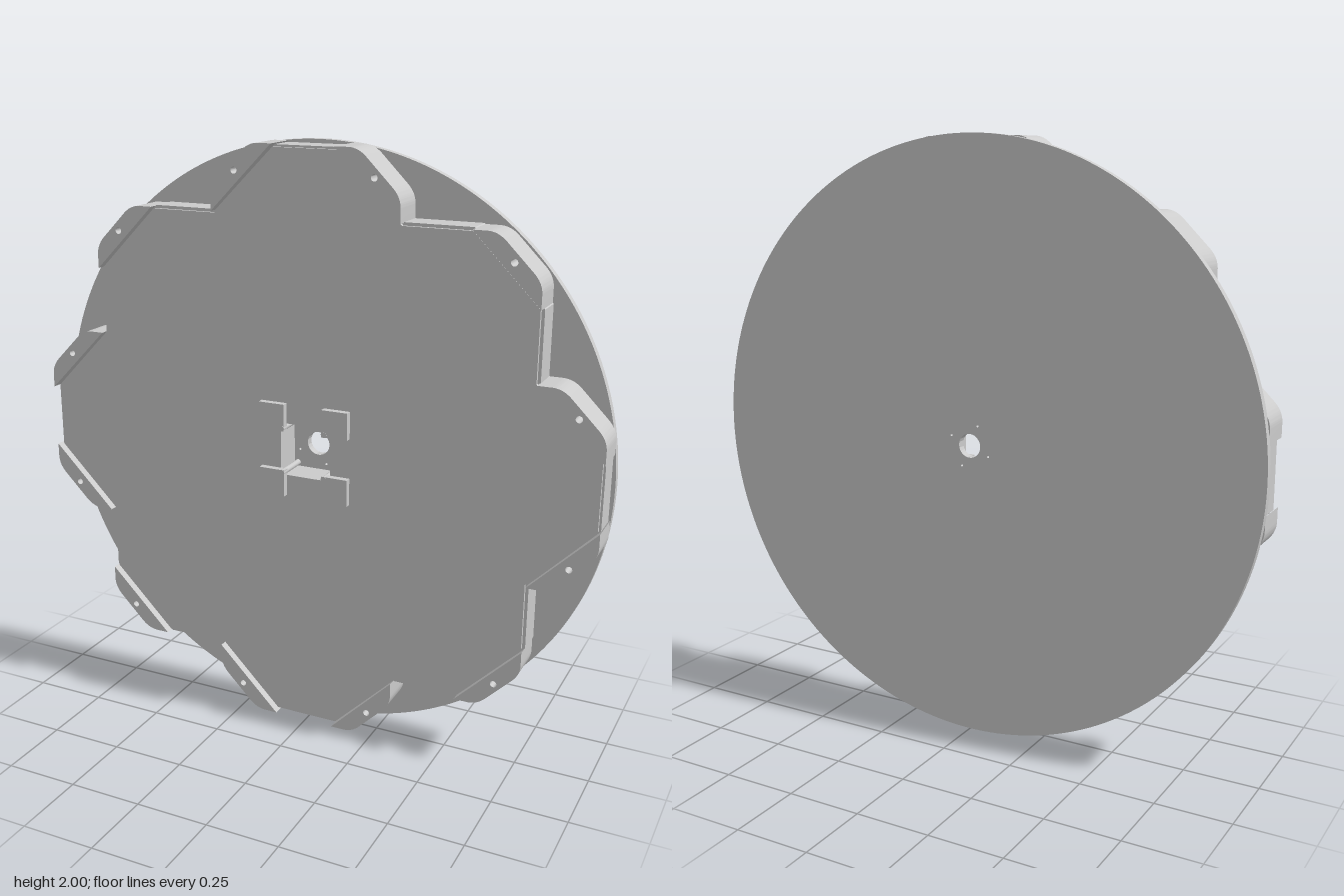
import * as THREE from 'three';
import { toCreasedNormals } from 'three/addons/utils/BufferGeometryUtils.js';

const material = new THREE.MeshStandardMaterial({ color: 0xcccccc });

// Extrude a shape between two z levels, smooth on curves and sharp on edges
function slab(name, shape, z0, z1, curveSegments = 24) {
  const geo = new THREE.ExtrudeGeometry(shape, { depth: z1 - z0, bevelEnabled: false, curveSegments });
  geo.translate(0, 0, z0);
  const mesh = new THREE.Mesh(toCreasedNormals(geo, 0.5), material);
  mesh.name = name;
  return mesh;
}

function circle(x, y, r) {
  return new THREE.Path().absarc(x, y, r, 0, Math.PI * 2, true);
}

function square(Type, h) {
  return new Type([[-h, -h], [h, -h], [h, h], [-h, h]].map(([x, y]) => new THREE.Vector2(x, y)));
}

// Stepped octagonal outline: far = cardinal flats, near = notch flats
function bodyShape(far, near) {
  const quarter = [[far, -0.11], [far, 0.11], [near, 0.325], [near, 0.55], [0.55, near], [0.325, near]];
  const points = [];
  for (let q = 0; q < 4; q++) {
    for (const [x, y] of quarter) {
      points.push(new THREE.Vector2(x, y).rotateAround(new THREE.Vector2(), q * Math.PI / 2));
    }
  }
  const shape = new THREE.Shape(points);
  shape.holes.push(square(THREE.Path, 0.09));
  return shape;
}

// Trapezoid block with rounded outer corners and a screw hole; x along, y outward
function padShape() {
  const s = new THREE.Shape();
  s.moveTo(-0.155, 0);
  s.lineTo(0.155, 0);
  s.lineTo(0.122, 0.033);
  s.quadraticCurveTo(0.098, 0.056, 0.06, 0.056);
  s.lineTo(-0.06, 0.056);
  s.quadraticCurveTo(-0.098, 0.056, -0.122, 0.033);
  s.closePath();
  s.holes.push(circle(0, 0.032, 0.011));
  return s;
}

export function createModel() {
  const model = new THREE.Group();
  model.name = 'wheelPanel';
  const wheel = new THREE.Group();
  wheel.name = 'wheel';
  wheel.position.y = 1;
  model.add(wheel);

  // Round back disc with centre bore and four small screw holes
  const disc = new THREE.Shape().absarc(0, 0, 1, 0, Math.PI * 2, false);
  disc.holes.push(circle(0, 0, 0.04));
  for (let q = 0; q < 4; q++) {
    const a = q * Math.PI / 2 + 0.4;
    disc.holes.push(circle(0.075 * Math.cos(a), 0.075 * Math.sin(a), 0.004));
  }
  wheel.add(slab('backDisc', disc, -0.075, -0.048, 120));

  // Stepped body wall and the slightly inset front plate
  wheel.add(slab('bodyWall', bodyShape(0.987, 0.775), -0.05, 0.043));
  wheel.add(slab('frontPlate', bodyShape(0.98, 0.765), 0.043, 0.054));

  // Twelve edge blocks, three per quadrant, all facing the diagonals
  const padSpots = [[0.2175, 0.882], [0.6625, 0.6625], [0.882, 0.2175]];
  for (let q = 0; q < 4; q++) {
    const quadrant = new THREE.Group();
    quadrant.name = 'quadrant';
    quadrant.rotation.z = q * Math.PI / 2;
    for (const [x, y] of padSpots) {
      const pad = slab('edgeBlock', padShape(), -0.05, 0.073);
      pad.position.set(x, y, 0);
      pad.rotation.z = -Math.PI / 4;
      quadrant.add(pad);
    }
    // Square corner tab beside the centre opening, with its pin
    const tab = slab('cornerTab', square(THREE.Shape, 0.046), 0.052, 0.076);
    tab.position.set(0.114, 0.114, 0);
    quadrant.add(tab);
    const pin = new THREE.Mesh(new THREE.CylinderGeometry(0.01, 0.01, 0.126, 16), material);
    pin.name = 'tabPin';
    pin.rotation.x = Math.PI / 2;
    pin.position.set(0.077, 0.077, 0.014);
    quadrant.add(pin);
    wheel.add(quadrant);
  }
  return model;
}
